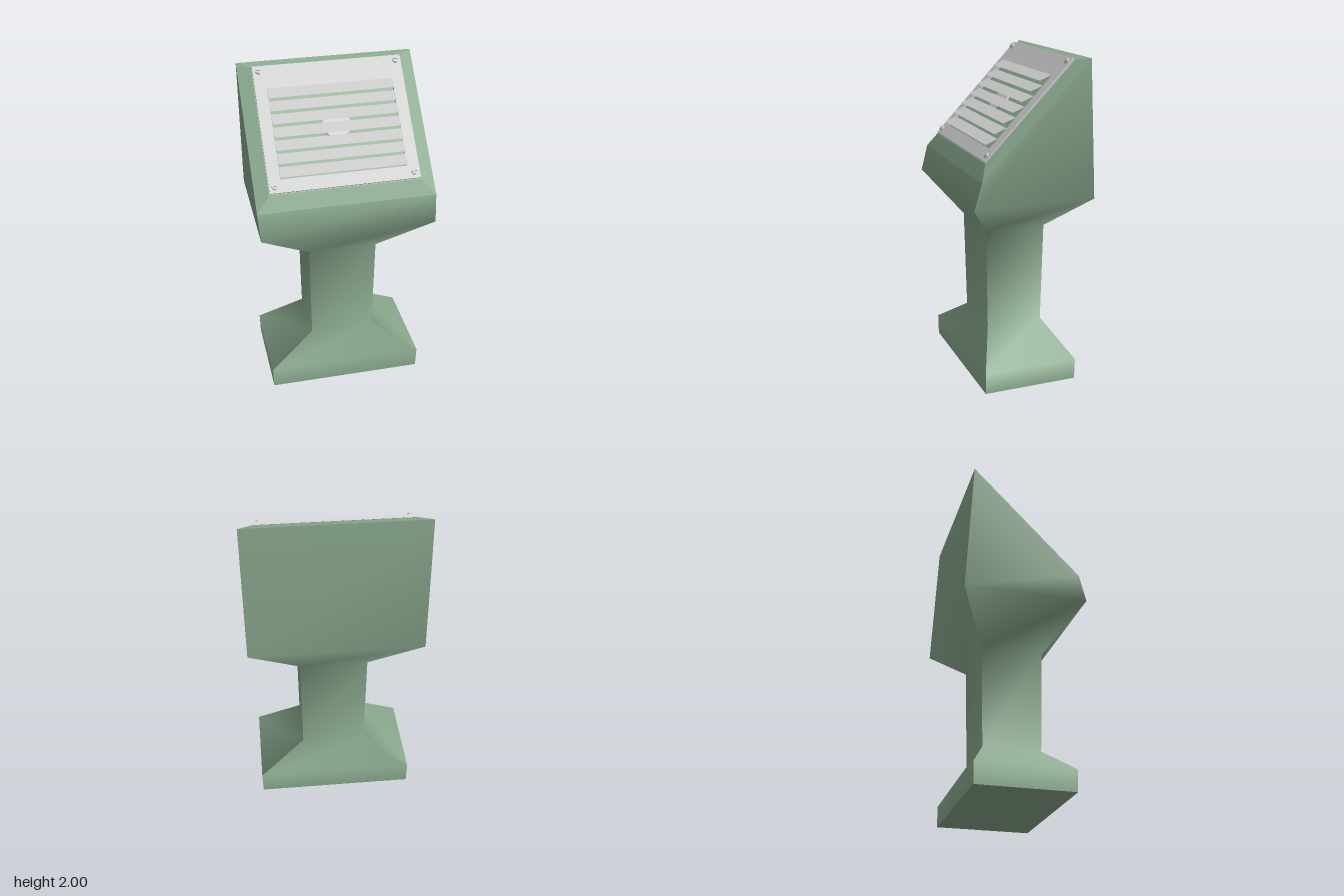
import * as THREE from 'three';

const GREEN = new THREE.MeshStandardMaterial({ color: 0x8cab90 });
const GREY = new THREE.MeshStandardMaterial({ color: 0xcccccc });
const GREY_THIN = new THREE.MeshStandardMaterial({ color: 0xcccccc, side: THREE.DoubleSide });

// Four corners of a ring; front and back edges may sit at different heights
const ring = (hx, yf, zf, yb = yf, zb = -zf) =>
  [[hx, yf, zf], [hx, yb, zb], [-hx, yb, zb], [-hx, yf, zf]];

// Geometry with normals smoothed only within its own faces
function patch(points, index) {
  const g = new THREE.BufferGeometry();
  g.setAttribute('position', new THREE.Float32BufferAttribute(points.flat(), 3));
  g.setIndex(index);
  g.computeVertexNormals();
  return g;
}

// One side of a stack of rings, smooth along its height, sharp at corners
function sideStrip(rings, k) {
  const points = [], index = [];
  rings.forEach((r, i) => {
    points.push(r[k], r[(k + 1) % 4]);
    if (i) {
      const a = 2 * i - 2;
      index.push(a, a + 1, a + 3, a, a + 3, a + 2);
    }
  });
  return patch(points, index);
}

function add(parent, name, geometry, material, x = 0, y = 0, z = 0) {
  const m = new THREE.Mesh(geometry, material);
  m.name = name;
  m.position.set(x, y, z);
  parent.add(m);
  return m;
}

function makeBody() {
  const body = new THREE.Group();
  body.name = 'pedestalBody';
  const rings = [
    ring(0.48, 0, 0.295),
    ring(0.484, 0.13, 0.296),
    ring(0.2, 0.315, 0.178),
    ring(0.21, 0.94, 0.19),
    ring(0.527, 1.175, 0.375),
    ring(0.537, 1.335, 0.33, 2.0, -0.328),
  ];
  const outer = rings[rings.length - 1];
  const inner = ring(0.456, 1.425, 0.282, 1.985, -0.266);
  for (let k = 0; k < 4; k++) {
    add(body, 'bodySide', sideStrip(rings, k), GREEN);
    add(body, 'headBevel', sideStrip([outer, inner], k), GREEN);
  }
  add(body, 'headFace', patch(inner, [0, 1, 2, 0, 2, 3]), GREEN);
  add(body, 'baseUnderside', patch(rings[0], [0, 2, 1, 0, 3, 2]), GREEN);
  return body;
}

// Screw head: a disk topped by two half disks that leave a slot
function makeScrew(x, y) {
  const screw = new THREE.Group();
  screw.name = 'screw';
  screw.position.set(x, y, 0);
  const disk = new THREE.CylinderGeometry(0.018, 0.018, 0.008, 16).rotateX(Math.PI / 2);
  add(screw, 'screwBase', disk, GREY, 0, 0, 0.004);
  const half = new THREE.Shape().absarc(0, 0, 0.015, 0.2, Math.PI - 0.2, false);
  half.closePath();
  const halfGeo = new THREE.ExtrudeGeometry(half, { depth: 0.008, bevelEnabled: false, curveSegments: 8 });
  for (const turn of [0, Math.PI]) {
    add(screw, 'screwHalf', halfGeo, GREY, 0, 0, 0.008).rotation.z = turn;
  }
  return screw;
}

function makeGrille() {
  const grille = new THREE.Group();
  grille.name = 'speakerGrille';
  grille.position.set(0, 1.7175, 0.015);
  grille.rotation.x = -0.763;

  // Cover plate with a window behind the louvres
  const W = 0.452, H = 0.389, w = 0.38, low = -0.309, high = 0.243;
  const rect = (P, x, y0, y1) =>
    new P([[-x, y0], [x, y0], [x, y1], [-x, y1]].map(p => new THREE.Vector2(...p)));
  const plate = rect(THREE.Shape, W, -H, H);
  plate.holes.push(rect(THREE.Path, w, low, high));
  add(grille, 'coverPlate',
    new THREE.ExtrudeGeometry(plate, { depth: 0.018, bevelEnabled: false }), GREY, 0, 0, -0.018);

  // Louvres: each lip stands out at its lower edge and meets the plate above
  const lip = patch([[-w, 0, 0.033], [w, 0, 0.033], [w, 0.072, 0], [-w, 0.072, 0]],
    [0, 1, 2, 0, 2, 3]);
  for (let i = 0; i < 7; i++) add(grille, 'louvre', lip, GREY_THIN, 0, low + i * 0.0803, 0);

  // Speaker behind the louvres
  const disk = new THREE.CylinderGeometry(0.085, 0.085, 0.022, 32).rotateX(Math.PI / 2);
  add(grille, 'speakerDisk', disk, GREY, 0, -0.01, -0.012);

  for (const x of [-0.418, 0.418])
    for (const y of [-0.352, 0.355]) grille.add(makeScrew(x, y));
  return grille;
}

export function createModel() {
  const model = new THREE.Group();
  model.name = 'speakerPost';
  model.add(makeBody(), makeGrille());
  return model;
}
